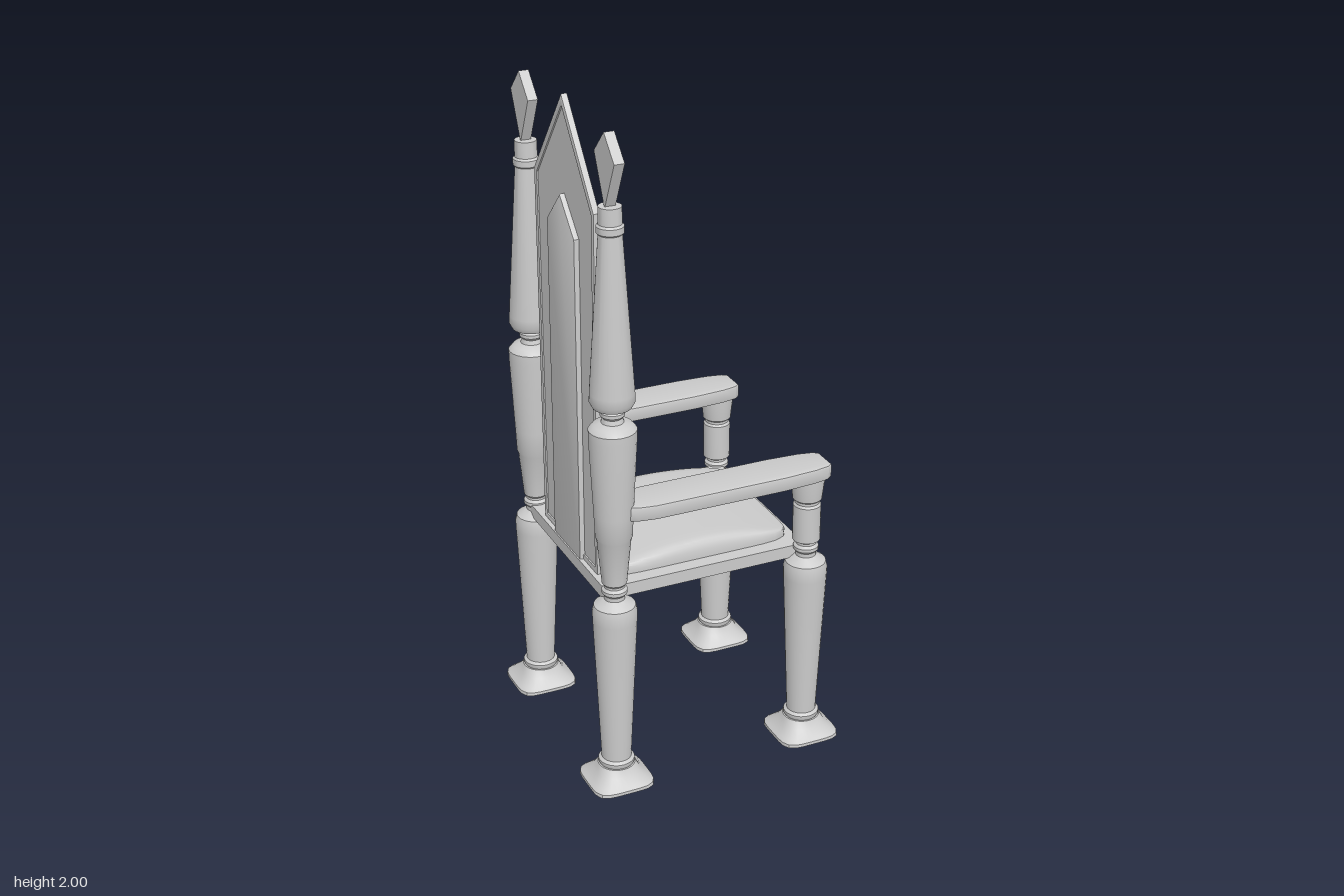
import * as THREE from 'three';
import { toCreasedNormals } from 'three/addons/utils/BufferGeometryUtils.js';

const mat = new THREE.MeshStandardMaterial({ color: 0xcccccc, side: THREE.DoubleSide });

function add(parent, name, geo, crease = 0.6) {
  const mesh = new THREE.Mesh(toCreasedNormals(geo, crease), mat);
  mesh.name = name;
  parent.add(mesh);
  return mesh;
}

const lathe = (pts, seg = 24) =>
  new THREE.LatheGeometry(pts.map(([r, y]) => new THREE.Vector2(r, y)), seg);

// Pushes round sections towards a rounded square; power(y) = 2 stays round
function squareOff(geo, power) {
  const p = geo.attributes.position;
  for (let i = 0; i < p.count; i++) {
    const x = p.getX(i), z = p.getZ(i), r = Math.hypot(x, z);
    if (r < 1e-6) continue;
    const n = power(p.getY(i));
    const k = Math.pow(Math.abs(x / r) ** n + Math.abs(z / r) ** n, -1 / n);
    p.setX(i, x * k);
    p.setZ(i, z * k);
  }
  return geo;
}

function polygon(pts) {
  return new THREE.Shape(pts.map(([a, b]) => new THREE.Vector2(a, b)));
}

// Upright slab: outline in z and y, thickness along x
function slab(shape, thick, bevel) {
  const geo = new THREE.ExtrudeGeometry(shape, {
    depth: thick - 2 * bevel, bevelEnabled: bevel > 0,
    bevelThickness: bevel, bevelSize: bevel, bevelOffset: -bevel, bevelSegments: 2,
  });
  geo.translate(0, 0, -thick / 2 + bevel);
  return geo.rotateY(Math.PI / 2);
}

// Pointed arch outline
const arch = (wBottom, wTop, bottom, shoulder, apex) =>
  [[-wBottom, bottom], [wBottom, bottom], [wTop, shoulder], [0, apex], [-wTop, shoulder]];

// Turned profiles as [radius, height]
const FOOT = [[0, 0], [0.094, 0], [0.094, 0.01], [0.085, 0.018], [0.065, 0.038], [0.055, 0.06], [0.04, 0.06]];
const LEG = [[0.05, 0.06], [0.053, 0.065], [0.053, 0.075], [0.044, 0.082], [0.044, 0.09], [0.064, 0.54],
  [0.065, 0.57], [0.06, 0.59], [0.045, 0.6], [0.03, 0.61], [0.03, 0.622], [0.037, 0.63], [0.037, 0.64],
  [0.03, 0.648], [0.03, 0.655]];
const ARM_POST = [[0.03, 0.655], [0.041, 0.662], [0.041, 0.775], [0.036, 0.782], [0.036, 0.79],
  [0.043, 0.796], [0.049, 0.85], [0.049, 0.885]];
const BACK_POST = [[0.03, 0.655], [0.036, 0.662], [0.049, 0.8], [0.053, 0.81], [0.056, 0.88], [0.068, 1.115],
  [0.068, 1.14], [0.055, 1.155], [0.032, 1.162], [0.028, 1.175], [0.035, 1.183], [0.035, 1.193],
  [0.03, 1.2], [0.055, 1.208], [0.064, 1.225], [0.063, 1.25], [0.033, 1.705], [0.038, 1.71],
  [0.038, 1.728], [0.033, 1.734], [0.032, 1.782], [0, 1.782]];

// Flared foot and turned leg, continued upwards by a post
function support(name, upper, x, z) {
  const g = new THREE.Group();
  g.name = name;
  g.position.set(x, 0, z);
  add(g, 'foot', squareOff(lathe(FOOT, 32), y => 2 + 3 * Math.max(0, 1 - y / 0.055)));
  add(g, 'leg', lathe(LEG));
  add(g, 'post', lathe(upper));
  return g;
}

function cushion() {
  const rim = [[0, 0.635], [1, 0.635], [1, 0.645], [0.992, 0.65]];
  const top = [0.97, 0.94, 0.85, 0.7, 0.5, 0.25, 0].map(r => [r, 0.652]);
  const geo = squareOff(lathe([...rim, ...top], 64), () => 9);
  const p = geo.attributes.position;
  // The top arches from back to front and drops quickly at the sides
  for (let i = 0; i < p.count; i++) {
    const x = p.getX(i), z = p.getZ(i), y = p.getY(i);
    const side = 1 - Math.abs(z) ** 40;
    if (y > 0.645) p.setY(i, y + 0.038 * Math.max(0, 1 - x * x) * side);
  }
  return geo.scale(0.295, 1, 0.238);
}

function armrest() {
  const half = [[-0.275, 0.045], [-0.25, 0.056], [-0.2, 0.064], [0.2, 0.065], [0.3, 0.059], [0.345, 0.05], [0.36, 0.038]];
  const outline = [...half.map(([x, z]) => [x, -z]), ...half.slice().reverse()];
  const b = 0.006;
  const geo = new THREE.ExtrudeGeometry(polygon(outline), {
    depth: 0.045 - 2 * b, bevelThickness: b, bevelSize: b, bevelOffset: -b, bevelSegments: 2,
  });
  return geo.rotateX(-Math.PI / 2).translate(0, 0.866 + b, 0);
}

export function createModel() {
  const model = new THREE.Group();
  model.name = 'highBackArmchair';
  const body = new THREE.Group();
  body.name = 'chair';
  body.position.z = -0.004;
  model.add(body);

  // Legs, posts, finials and arms on both sides
  for (const s of [1, -1]) {
    const side = s > 0 ? 'left' : 'right';
    const z = s * 0.299;
    body.add(support(side + 'FrontSupport', ARM_POST, 0.305, z));
    const back = support(side + 'BackSupport', BACK_POST, -0.305, z);
    const kite = polygon([[0, 1.775], [0.066, 1.915], [0, 1.983], [-0.066, 1.915]]);
    add(back, 'finial', slab(kite, 0.03, 0));
    body.add(back);
    add(body, side + 'Armrest', armrest()).position.z = z;
  }

  // Seat: board with a frame below, leaving a shallow recess
  add(body, 'seatBoard', new THREE.BoxGeometry(0.64, 0.025, 0.565).translate(-0.01, 0.6225, 0));
  for (const s of [1, -1]) {
    add(body, 'seatSideRail', new THREE.BoxGeometry(0.64, 0.014, 0.03).translate(-0.01, 0.603, s * 0.2675));
    add(body, 'seatEndRail', new THREE.BoxGeometry(0.03, 0.014, 0.505).translate(-0.01 + s * 0.305, 0.603, 0));
  }
  add(body, 'cushion', cushion(), 0.7);

  // Backrest: raised rim, thin panel and a smaller arched panel in the middle
  const rim = polygon(arch(0.2, 0.212, 0.63, 1.73, 2.0));
  rim.holes.push(new THREE.Path(arch(0.181, 0.193, 0.65, 1.722, 1.967).map(([a, b]) => new THREE.Vector2(a, b))));
  add(body, 'backRim', slab(rim, 0.02, 0.004)).position.x = -0.306;
  add(body, 'backPanel', slab(polygon(arch(0.19, 0.202, 0.632, 1.726, 1.98)), 0.01, 0)).position.x = -0.306;
  add(body, 'backInnerPanel', slab(polygon(arch(0.098, 0.098, 0.632, 1.62, 1.72)), 0.032, 0.006)).position.x = -0.311;

  return model;
}
